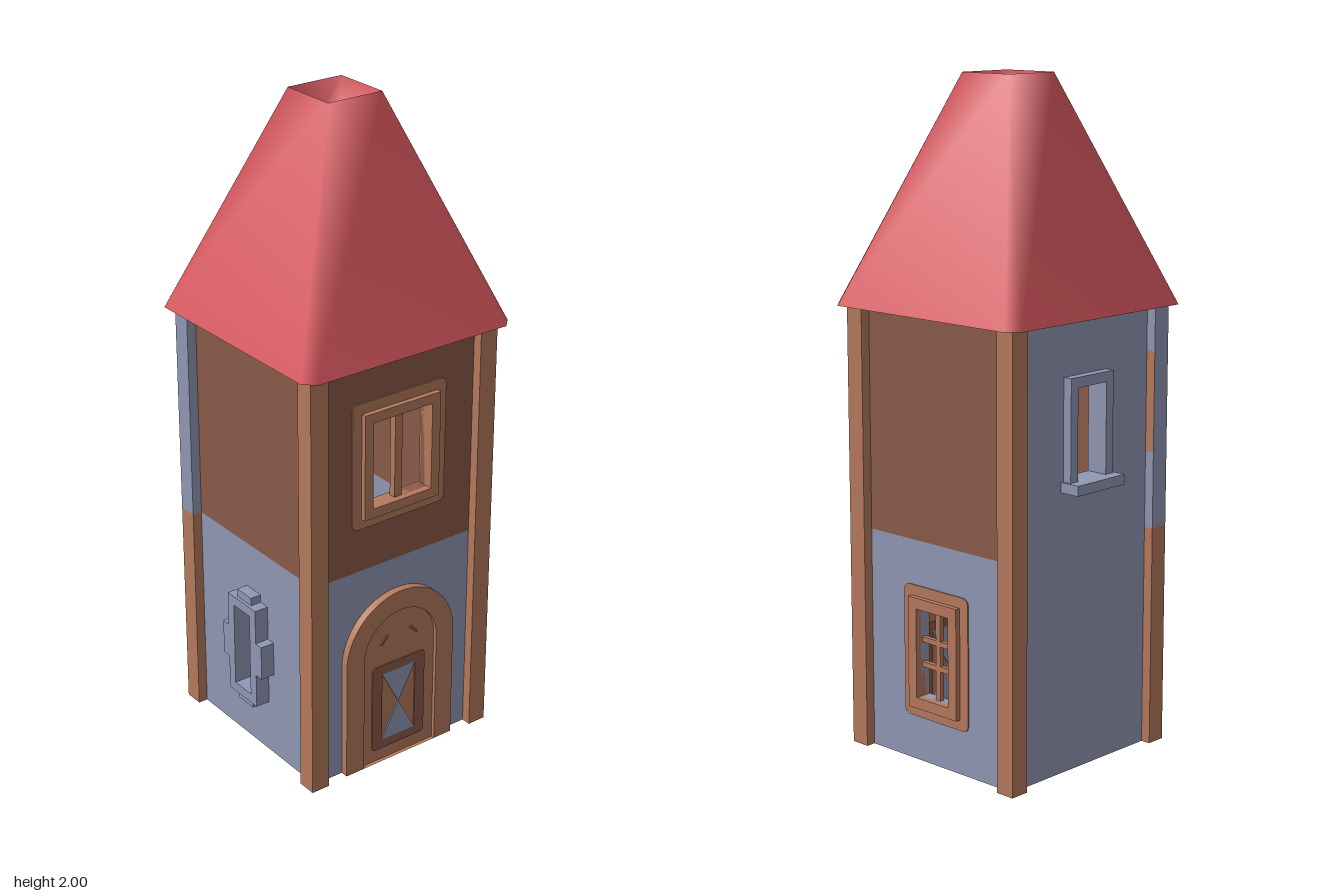
import * as THREE from 'three';
import { mergeVertices } from 'three/addons/utils/BufferGeometryUtils.js';

const mat = (name, color) => {
  const m = new THREE.MeshStandardMaterial({ color });
  m.name = name;
  return m;
};

const TOP = 1.335, SPLIT = 0.67, IN = 0.27, OUT = 0.3;

// Rectangle or rounded rectangle outline
function rect(w, y0, y1, r = 0, P = THREE.Shape) {
  const s = new P();
  if (!r) return s.moveTo(-w, y0).lineTo(w, y0).lineTo(w, y1).lineTo(-w, y1).closePath();
  s.moveTo(-w + r, y0).lineTo(w - r, y0).quadraticCurveTo(w, y0, w, y0 + r);
  s.lineTo(w, y1 - r).quadraticCurveTo(w, y1, w - r, y1);
  s.lineTo(-w + r, y1).quadraticCurveTo(-w, y1, -w, y1 - r);
  s.lineTo(-w, y0 + r).quadraticCurveTo(-w, y0, -w + r, y0);
  return s;
}

// Round-headed door outline
function arch(w, spring, P = THREE.Shape) {
  const s = new P();
  s.moveTo(-w, 0).lineTo(w, 0).lineTo(w, spring);
  s.absarc(0, spring, w, 0, Math.PI, false);
  return s.lineTo(-w, 0);
}

const poly = (...p) => new THREE.Shape(p.map(([x, y]) => new THREE.Vector2(x, y)));

function add(parent, name, geometry, material) {
  const m = new THREE.Mesh(geometry, material);
  m.name = name;
  parent.add(m);
  return m;
}

// Extruded slab between two depths, with optional holes
function slab(parent, name, material, shape, z0, z1, ...holes) {
  shape.holes.push(...holes);
  const g = new THREE.ExtrudeGeometry(shape, { depth: z1 - z0, bevelEnabled: false, curveSegments: 16 });
  return add(parent, name, g.translate(0, 0, z0), material);
}

const hole = (w, y0, y1) => rect(w, y0, y1, 0, THREE.Path);

// Square ring of eight points with cut corners
const ring = (r, cut, y) => [[r, -r + cut], [r, r - cut], [r - cut, r], [-r + cut, r],
  [-r, r - cut], [-r, -r + cut], [-r + cut, -r], [r - cut, -r]].map(([x, z]) => [x, y, z]);

function loft(a, b) {
  const index = [];
  for (let i = 0; i < 8; i++) {
    const j = (i + 1) % 8;
    index.push(i, i + 8, j, i + 8, j + 8, j);
  }
  let g = new THREE.BufferGeometry();
  g.setAttribute('position', new THREE.Float32BufferAttribute([...a, ...b].flat(), 3));
  g.setIndex(index);
  g = mergeVertices(g, 1e-4);
  g.computeVertexNormals();
  return g;
}

export function createModel() {
  const wood = mat('light wood', 0xb5795c);
  const dark = mat('dark wood', 0x8a5a48);
  const stone = mat('blue grey stone', 0x9097b2);
  const red = mat('red roof', 0xd8585f);

  const model = new THREE.Group();
  model.name = 'tower';

  // Each wall is built facing +z, then turned into place
  const side = (name, angle) => {
    const g = new THREE.Group();
    g.name = name;
    g.rotation.y = angle;
    model.add(g);
    return g;
  };
  const front = side('frontWall', 0);
  const left = side('leftWall', Math.PI / 2);
  const back = side('backWall', Math.PI);
  const right = side('rightWall', -Math.PI / 2);

  // Wall panels with their window openings
  slab(front, 'lowerWall', stone, rect(IN, 0, SPLIT), IN, OUT);
  slab(front, 'upperWall', dark, rect(IN, SPLIT, TOP), IN, OUT, hole(0.105, 0.87, 1.14));
  slab(left, 'lowerWall', stone, rect(IN, 0, SPLIT), IN, OUT, hole(0.065, 0.2, 0.47));
  slab(left, 'upperWall', dark, rect(IN, SPLIT, TOP), IN, OUT);
  slab(right, 'lowerWall', stone, rect(IN, 0, SPLIT), IN, OUT, hole(0.04, 0.2, 0.47));
  slab(right, 'upperWall', dark, rect(IN, SPLIT, TOP), IN, OUT);
  slab(back, 'wall', stone, rect(IN, 0, TOP), IN, OUT, hole(0.06, 0.87, 1.14));

  // Wooden windows: painted surround, raised frame and bars
  function woodWindow(g, w, y0, y1, surround, frame) {
    slab(g, 'windowSurround', wood, rect(w + surround, y0 - surround, y1 + surround, 0.025),
      OUT, OUT + 0.004, hole(w, y0, y1));
    slab(g, 'windowFrame', wood, rect(w + frame, y0 - frame, y1 + frame), IN - 0.005, OUT + 0.02, hole(w, y0, y1));
  }
  woodWindow(front, 0.105, 0.87, 1.14, 0.062, 0.03);
  slab(front, 'windowBar', wood, rect(0.013, 0.87, 1.14), 0.278, 0.3);
  woodWindow(left, 0.065, 0.2, 0.47, 0.065, 0.033);
  slab(left, 'windowBar', wood, rect(0.009, 0.2, 0.47), 0.28, 0.295);
  for (const y of [0.297, 0.373]) slab(left, 'windowBar', wood, rect(0.065, y - 0.008, y + 0.008), 0.28, 0.295);

  // Stone window with corner-less lug blocks
  slab(right, 'windowFrame', stone, rect(0.07, 0.17, 0.5), IN - 0.01, 0.345, hole(0.04, 0.2, 0.47));
  for (const s of [-1, 1]) {
    slab(right, 'sideLug', stone, rect(0.015, 0.28, 0.39), IN - 0.01, 0.345).position.x = s * 0.083;
    const y = 0.335 + s * 0.17;
    slab(right, 'endLug', stone, rect(0.035, y - 0.02, y + 0.02), IN - 0.01, 0.335);
  }

  // Stone window with a projecting sill
  slab(back, 'windowFrame', stone, rect(0.09, 0.86, 1.17), IN - 0.01, 0.328, hole(0.06, 0.87, 1.14));
  slab(back, 'windowSill', stone, rect(0.1, 0.84, 0.87), IN - 0.01, 0.365);

  // Arched door
  slab(front, 'doorArch', wood, arch(0.2, 0.37), IN - 0.004, 0.324, arch(0.135, 0.37, THREE.Path));
  slab(front, 'door', wood, arch(0.135, 0.37), IN - 0.006, 0.312);
  // Door ornament on both faces
  for (const z of [0.312, 0.26]) {
    const z1 = z + 0.004;
    slab(front, 'doorPanelBorder', dark, rect(0.098, 0.04, 0.33, 0.015), z, z1, hole(0.062, 0.07, 0.3));
    slab(front, 'doorInlay', stone, poly([-0.062, 0.07], [0.062, 0.07], [0, 0.185]), z, z1);
    slab(front, 'doorInlay', stone, poly([0, 0.185], [0.062, 0.3], [-0.062, 0.3]), z, z1);
    for (const s of [-1, 1]) {
      const mark = slab(front, 'doorMark', dark, rect(0.018, -0.004, 0.004), z, z1);
      mark.position.set(s * 0.055, 0.415, 0);
      mark.rotation.z = s * -0.8;
    }
  }

  // Corner posts, stacked in bands so faces can change colour; faces run +x -x +y -y +z -z
  const bands = [0, SPLIT, 0.9, 1.2, TOP];
  const stoneFaces = (sx, sz, i) => {
    if (sz > 0 || i === 0) return [];
    if (sx > 0) return [1, 4];
    return i === 2 ? [1, 4, 5] : [0, 1, 4, 5];
  };
  for (const sx of [-1, 1]) for (const sz of [-1, 1]) {
    const post = new THREE.Group();
    post.name = 'cornerPost';
    post.position.set(sx * 0.3, 0, sz * 0.3);
    for (let i = 0; i < 4; i++) {
      const h = bands[i + 1] - bands[i];
      const grey = stoneFaces(sx, sz, i);
      const faces = [0, 1, 2, 3, 4, 5].map(f => (grey.includes(f) ? stone : wood));
      add(post, 'postSection', new THREE.BoxGeometry(0.06, h, 0.06), faces).position.y = bands[i] + h / 2;
    }
    model.add(post);
  }

  // Roof: tapered shell, sunken square top and flat underside
  const eave = ring(0.365, 0.033, TOP), rim = ring(0.092, 0, 2), pit = ring(0.047, 0, 1.9);
  const roof = new THREE.Group();
  roof.name = 'roof';
  add(roof, 'roofSlopes', loft(eave, rim), red);
  add(roof, 'roofRecess', loft(rim, pit), red);
  add(roof, 'recessFloor', loft(pit, ring(0, 0, 1.9)), red);
  add(roof, 'roofUnderside', loft(ring(0, 0, TOP), eave), red);
  model.add(roof);

  return model;
}
